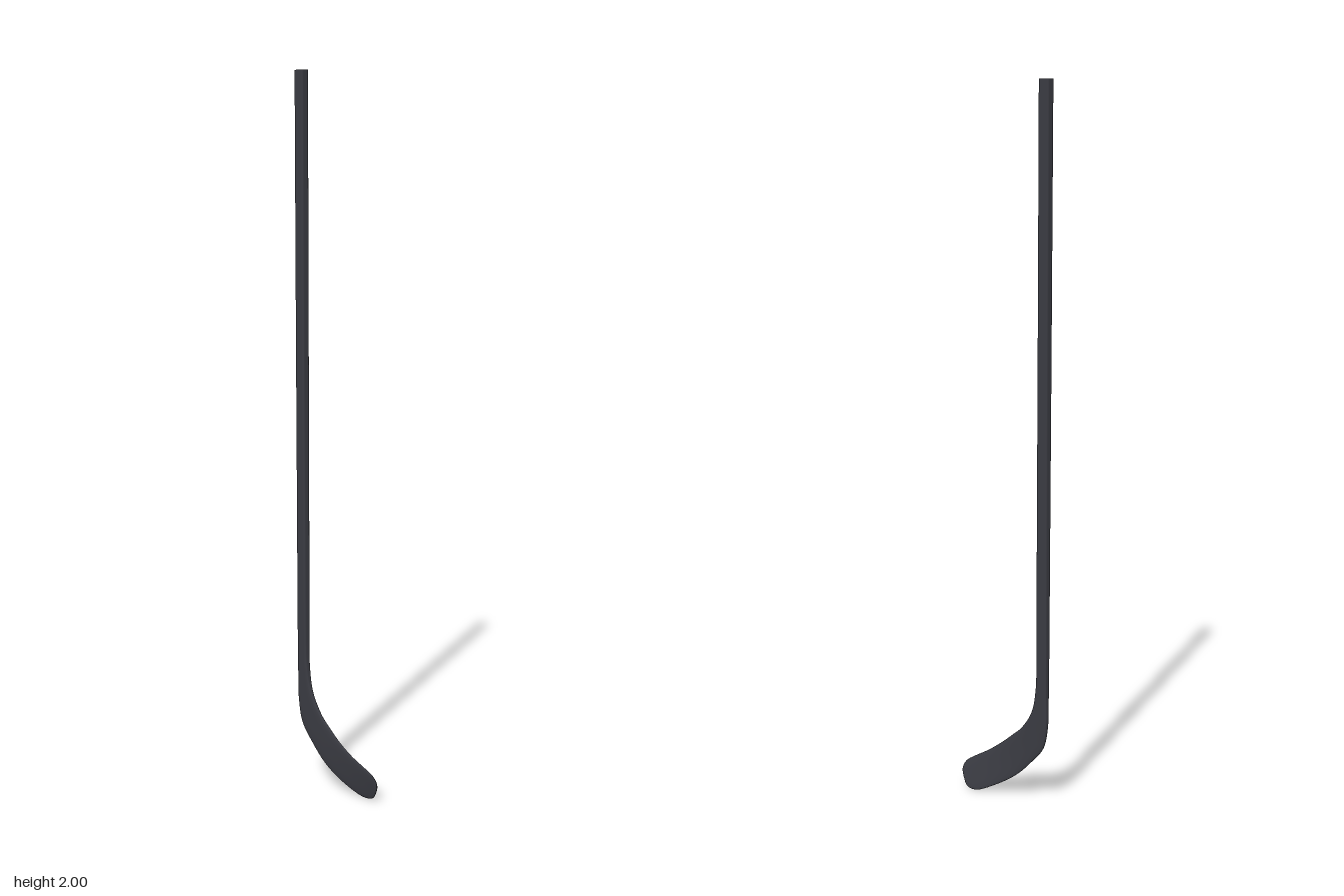
import * as THREE from 'three';

const SIDES = 32;
const material = new THREE.MeshStandardMaterial({ color: 0x3a3b42 });

// Lofts rounded sections between a heel edge and an inner edge.
// Each section: { a: outer edge, b: inner edge, t: thickness, n: squareness }
function loft(sections, capStart, capEnd) {
  const pos = [], idx = [];
  const mids = sections.map(s => s.a.clone().add(s.b).multiplyScalar(0.5));
  sections.forEach((s, i) => {
    const width = s.b.clone().sub(s.a).multiplyScalar(0.5);
    const along = mids[Math.min(i + 1, mids.length - 1)].clone().sub(mids[Math.max(i - 1, 0)]);
    const thick = along.cross(width).normalize().multiplyScalar(s.t / 2);
    for (let j = 0; j < SIDES; j++) {
      const ang = (j + 0.5) / SIDES * Math.PI * 2, c = Math.cos(ang), d = Math.sin(ang);
      const u = Math.sign(c) * Math.abs(c) ** (2 / s.n), v = Math.sign(d) * Math.abs(d) ** (2 / s.n);
      const p = mids[i].clone().addScaledVector(width, u).addScaledVector(thick, v);
      pos.push(p.x, p.y, p.z);
    }
  });
  for (let i = 0; i < sections.length - 1; i++) {
    for (let j = 0; j < SIDES; j++) {
      const a = i * SIDES + j, b = i * SIDES + (j + 1) % SIDES;
      idx.push(a, b, a + SIDES, b, b + SIDES, a + SIDES);
    }
  }
  // Flat caps with their own vertices, for a sharp rim
  const cap = (i, flip) => {
    const base = pos.length / 3;
    pos.push(...pos.slice(i * SIDES * 3, (i + 1) * SIDES * 3), mids[i].x, mids[i].y, mids[i].z);
    for (let j = 0; j < SIDES; j++) {
      const a = base + j, b = base + (j + 1) % SIDES;
      idx.push(base + SIDES, flip ? b : a, flip ? a : b);
    }
  };
  if (capStart) cap(0, true);
  if (capEnd) cap(sections.length - 1, false);
  const g = new THREE.BufferGeometry();
  g.setAttribute('position', new THREE.Float32BufferAttribute(pos, 3));
  g.setIndex(idx);
  g.computeVertexNormals();
  return g;
}

// Shaft stations: y, inner edge x, thickness
const SHAFT = [
  [2, -0.108, 0.023], [1.3, -0.108, 0.022], [0.8, -0.107, 0.02], [0.55, -0.107, 0.019], [0.42, -0.107, 0.018],
];

// Blade stations: outer edge xyz, inner edge xyz, thickness, squareness
const BLADE = [
  [-0.143, 0.42, 0.021, -0.107, 0.42, 0.021, 0.018, 6],
  [-0.143, 0.33, 0.021, -0.104, 0.35, 0.021, 0.017, 5],
  [-0.142, 0.24, 0.021, -0.088, 0.278, 0.021, 0.015, 4],
  [-0.128, 0.178, 0.021, -0.05, 0.22, 0.02, 0.013, 3.5],
  [-0.087, 0.127, 0.019, -0.02, 0.193, 0.018, 0.012, 3],
  [-0.034, 0.074, 0.012, 0.022, 0.157, 0.013, 0.011, 3],
  [0.03, 0.031, -0.004, 0.065, 0.125, 0.004, 0.01, 3],
  [0.087, 0.005, -0.024, 0.11, 0.097, -0.009, 0.009, 3],
  [0.116, 0.01, -0.03, 0.129, 0.083, -0.015, 0.008, 3],
  [0.132, 0.031, -0.027, 0.138, 0.069, -0.02, 0.006, 2.5],
  [0.14, 0.048, -0.024, 0.141, 0.057, -0.022, 0.003, 2],
];

export function createModel() {
  const group = new THREE.Group();
  group.name = 'hockeyStick';

  // Straight shaft, tapering slightly in depth
  const shaftSections = SHAFT.map(([y, x, t]) => ({
    a: new THREE.Vector3(-0.143, y, 0.021), b: new THREE.Vector3(x, y, 0.021), t, n: 6,
  }));
  const shaft = new THREE.Mesh(loft(shaftSections, true, false), material);
  shaft.name = 'shaft';

  // Curved blade, swept smoothly through its stations
  const outer = new THREE.CatmullRomCurve3(BLADE.map(s => new THREE.Vector3(s[0], s[1], s[2])));
  const inner = new THREE.CatmullRomCurve3(BLADE.map(s => new THREE.Vector3(s[3], s[4], s[5])));
  const steps = (BLADE.length - 1) * 6, bladeSections = [];
  for (let k = 0; k <= steps; k++) {
    const i = Math.min(Math.floor(k / 6), BLADE.length - 2), f = k / 6 - i;
    bladeSections.push({
      a: outer.getPoint(k / steps),
      b: inner.getPoint(k / steps),
      t: THREE.MathUtils.lerp(BLADE[i][6], BLADE[i + 1][6], f),
      n: THREE.MathUtils.lerp(BLADE[i][7], BLADE[i + 1][7], f),
    });
  }
  const blade = new THREE.Mesh(loft(bladeSections, false, true), material);
  blade.name = 'blade';

  group.add(shaft, blade);
  return group;
}
